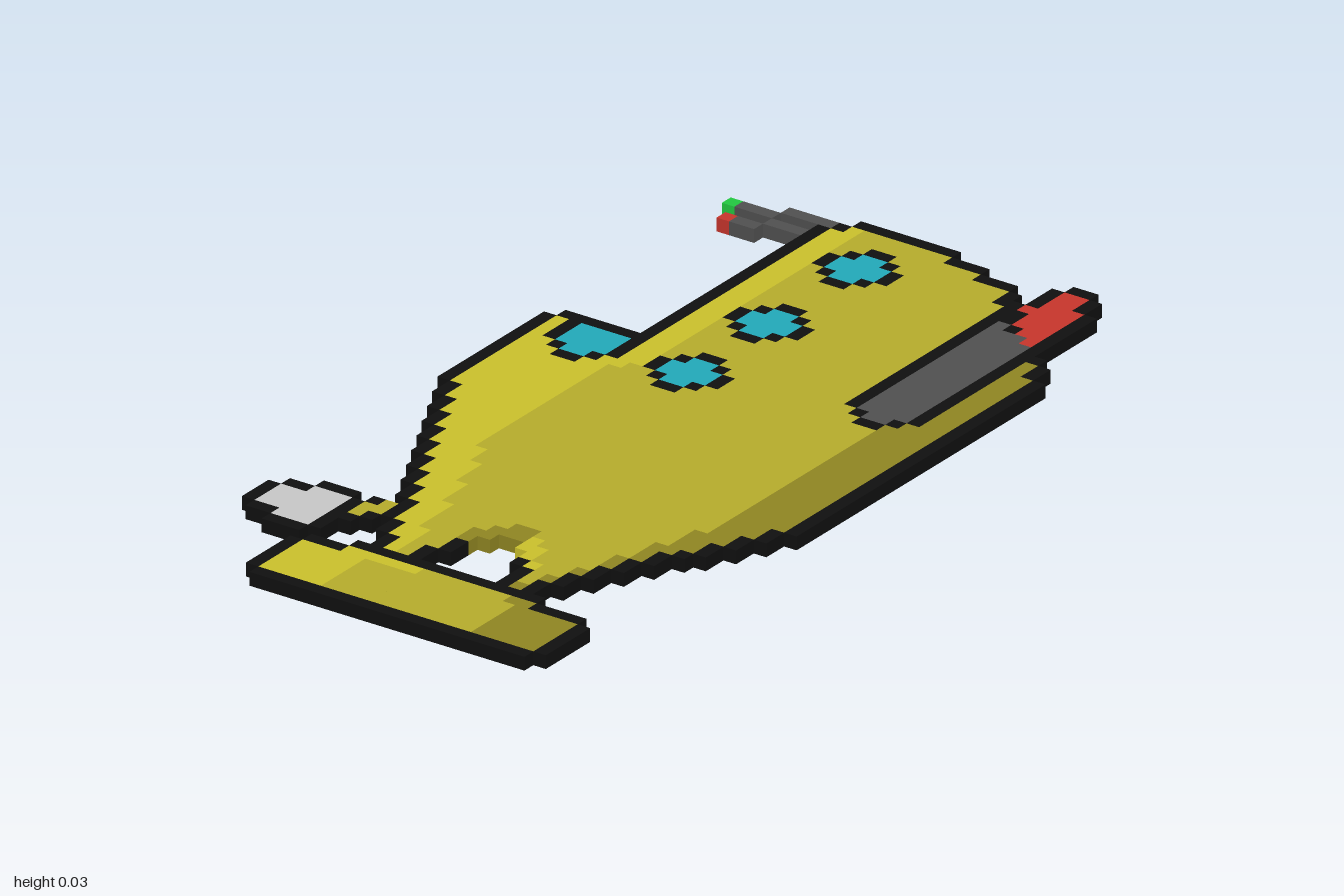
import * as THREE from 'three';
import { mergeGeometries } from 'three/addons/utils/BufferGeometryUtils.js';

// A flat slab of square cells: 66 columns (x) by 33 rows (z), one cell thick
const COLS = 66, ROWS = 33, CELL = 2 / COLS;

const COLOURS = {
  outline: 0x101010, lightYellow: 0xcac02c, midYellow: 0xb5ac2c, darkYellow: 0x8f8522,
  teal: 0x22a9b9, darkGrey: 0x505050, lightGrey: 0xc6c6c6, red: 0xc6352c, green: 0x22c840,
};

// Linear interpolation along a list of [position, value] points
function along(points, t) {
  for (let k = 1; k < points.length; k++) {
    const [t0, v0] = points[k - 1], [t1, v1] = points[k];
    if (t <= t1) return v0 + (v1 - v0) * Math.max(0, t - t0) / (t1 - t0);
  }
  return points[points.length - 1][1];
}

export function createModel() {
  const model = new THREE.Group();
  model.name = 'submarine';
  const materials = {};
  for (const [name, color] of Object.entries(COLOURS)) {
    materials[name] = new THREE.MeshStandardMaterial({ color });
    materials[name].name = name;
  }

  const grid = Array.from({ length: ROWS }, () => new Array(COLS).fill(null));
  const paint = (part, colour, row, from, to = from) => {
    for (let i = from; i <= to; i++) grid[row][i] = { part, colour };
  };

  // Fills the cells inside a shape and gives its border an outline
  function stamp(part, inside, colourAt, outlined = () => true) {
    for (let j = 0; j < ROWS; j++) for (let i = 0; i < COLS; i++) {
      if (!inside(i, j)) continue;
      const edge = !(inside(i - 1, j) && inside(i + 1, j) && inside(i, j - 1) && inside(i, j + 1));
      paint(part, edge && outlined(i, j) ? 'outline' : colourAt(i, j), j, i);
    }
  }
  // Shape test from one [first, last] column span per row
  const spans = (top, list) => (i, j) => {
    const s = list[j - top];
    return !!s && i >= s[0] && i <= s[1];
  };
  const repeat = (n, span) => Array(n).fill(span);

  // Hull with its tower and the notch at the tail
  const leftEdge = [[0, 31], [8, 14.5], [11, 7], [23, 7], [24, 10], [32, 25]];
  const rightEdge = [42, ...Array(6).fill(43), 63, 64, ...Array(8).fill(65), 64, 64, 64,
    63, 63, 63, 62, ...Array(6).fill(60), 55, 54, 52];
  const notch = spans(15, [[7, 9], [7, 12], [7, 13], [7, 13], [7, 12], [7, 10]]);
  const inHull = (i, j) => j >= 0 && j < ROWS && i >= Math.round(along(leftEdge, j))
    && i <= rightEdge[j] && !notch(i, j);
  const lightLimit = [[7, 13], [14, 11.5], [20, 9.5], [24, 8], [38, 8], [40, 10], [66, 10]];
  const darkLimit = [[7, 21.5], [14, 24.5], [20, 26.5], [25, 28], [66, 28]];
  const upperLip = spans(15, [[11, 13], [13, 14], [14, 15], [14, 15]]);
  const lowerLip = spans(19, [[13, 14], [11, 13], [9, 11]]);
  stamp('hull', inHull, (i, j) => {
    if (upperLip(i, j)) return 'darkYellow';
    if (lowerLip(i, j) || j < along(lightLimit, i)) return 'lightYellow';
    return j >= along(darkLimit, i) ? 'darkYellow' : 'midYellow';
  }, (i, j) => !(i >= 12 && i <= 15 && j >= 13 && j <= 20));

  // Tail fin
  stamp('tailFin', spans(6, [[1, 5], ...repeat(3, [0, 6]), ...repeat(15, [0, 7]),
    ...repeat(4, [0, 6]), [1, 5]]), (i, j) => {
    if (j < 12 || (i === 6 && j < 16)) return 'lightYellow';
    return j >= 24 || (i === 6 && j === 23) ? 'darkYellow' : 'midYellow';
  });

  // Propeller blade and its stem
  stamp('propeller', spans(0, [[9, 11], [8, 12], [8, 12], ...repeat(3, [7, 13]), [8, 12]]),
    () => 'lightGrey');
  paint('propellerStem', 'outline', 7, 10);
  paint('propellerStem', 'midYellow', 7, 11, 12);
  paint('propellerStem', 'outline', 7, 13);
  paint('propellerStem', 'outline', 8, 11);
  paint('propellerStem', 'midYellow', 8, 12, 13);

  // Portholes, and the tower window cut off by the tower's front edge
  for (const c of [38, 47, 57]) {
    stamp('porthole', spans(10, [[2, 3], [1, 4], [0, 5], [0, 5], [1, 4], [2, 3]]
      .map(([a, b]) => [c + a, c + b])), () => 'teal');
  }
  stamp('towerWindow', spans(2, [40, 39, 38, 38, 39, 40].map((a) => [a, 43])), () => 'teal');

  // Side pod with a red nose behind a slanted divider
  const noseStart = { 25: 61, 26: 59, 27: 58, 28: 57 };
  stamp('sidePod', spans(24, [[43, 61], [42, 64], [41, 65], [41, 65], [42, 64], [43, 62]]),
    (i, j) => (i >= noseStart[j] ? 'red' : 'darkGrey'));
  paint('sidePod', 'outline', 25, 59, 60);
  paint('sidePod', 'outline', 26, 58);

  // Two bent periscopes with coloured tips
  for (const [column, tip, bottom, colour] of [[61, 1, 6, 'red'], [63, 0, 7, 'green']]) {
    paint('periscope', colour, tip, column);
    for (let j = tip + 1; j <= bottom; j++) paint('periscope', 'darkGrey', j, column + (j > 3 ? 1 : 0));
  }

  // Turn every run of equal cells into a box, collected by part and colour
  const boxes = {};
  grid.forEach((row, j) => {
    for (let i = 0; i < COLS;) {
      const cell = row[i];
      let end = i + 1;
      if (!cell) { i = end; continue; }
      while (end < COLS && row[end] && row[end].part === cell.part && row[end].colour === cell.colour) end++;
      const box = new THREE.BoxGeometry((end - i) * CELL, CELL, CELL);
      box.translate((i + end) / 2 * CELL - 1, CELL / 2, (j + 0.5) * CELL - 0.5);
      const part = (boxes[cell.part] ??= {});
      (part[cell.colour] ??= []).push(box);
      i = end;
    }
  });
  for (const [part, byColour] of Object.entries(boxes)) {
    const group = new THREE.Group();
    group.name = part;
    for (const [colour, list] of Object.entries(byColour)) {
      const mesh = new THREE.Mesh(mergeGeometries(list), materials[colour]);
      mesh.name = `${part} ${colour}`;
      group.add(mesh);
    }
    model.add(group);
  }
  return model;
}
